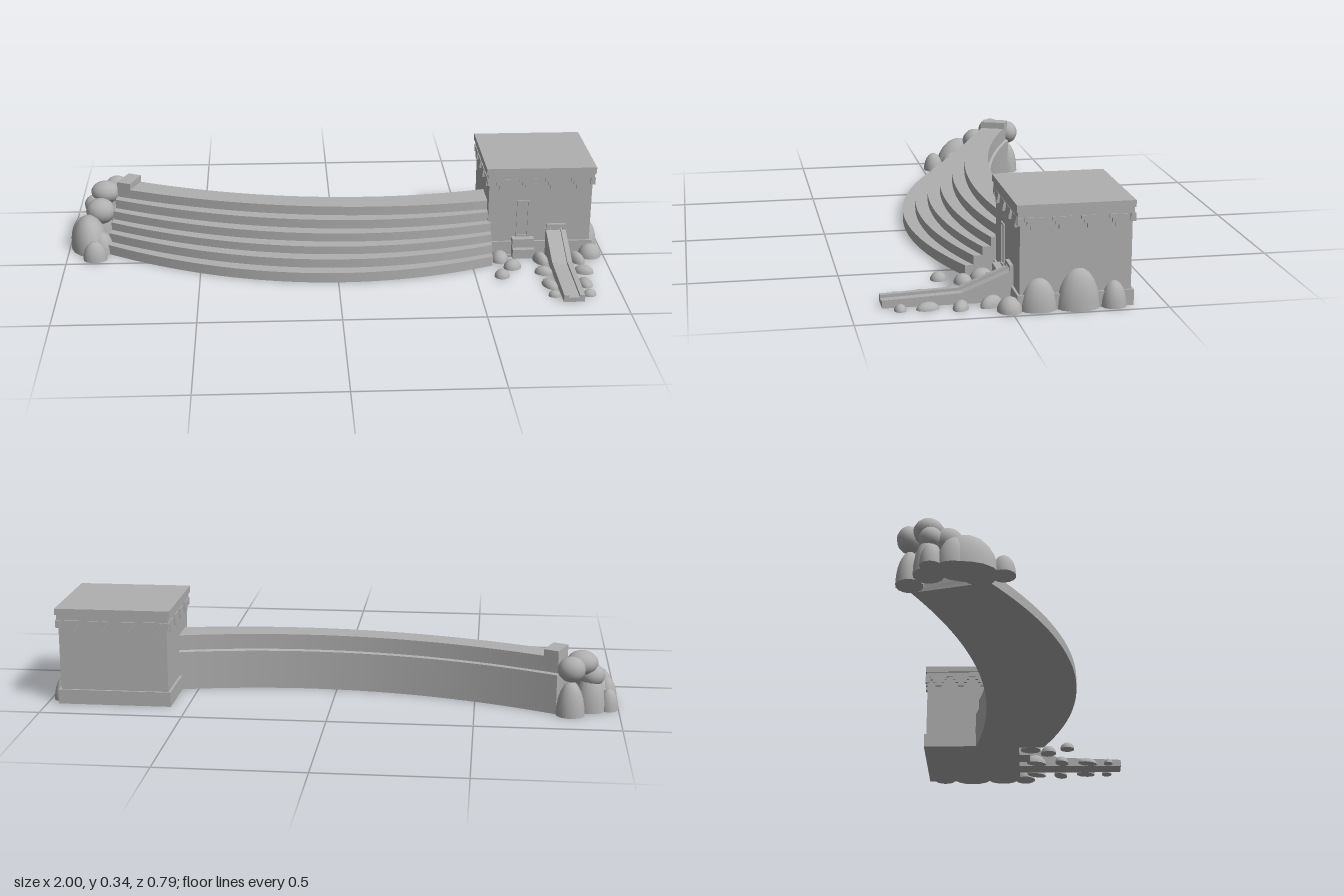
import * as THREE from 'three';
import { toCreasedNormals } from 'three/addons/utils/BufferGeometryUtils.js';

export function createModel() {
  const root = new THREE.Group();
  const stone = new THREE.MeshStandardMaterial({ color: 0xb0b0b0 });
  stone.name = 'grey stone';

  const add = (name, geo, parent = root) => {
    const m = new THREE.Mesh(geo, stone);
    m.name = name;
    parent.add(m);
    return m;
  };
  // box given by its limits on each axis
  const box = (name, x0, x1, y0, y1, z0, z1, parent = root) => {
    const m = add(name, new THREE.BoxGeometry(x1 - x0, y1 - y0, z1 - z0), parent);
    m.position.set((x0 + x1) / 2, (y0 + y1) / 2, (z0 + z1) / 2);
    return m;
  };
  const shapeOf = pts => new THREE.Shape(pts.map(p => new THREE.Vector2(p[0], p[1])));

  // --- Curved terrace: stepped section (u = step number, y) swept from left end to right end
  const rows = [ // u, left end [x,z], z at x = 0, right end [x,z]
    { u: 0, l: [-0.853, -0.09], m: 0.2, r: [0.575, 0.08] },
    { u: 5, l: [-0.82, -0.25], m: -0.03, r: [0.575, -0.065] },
    { u: 6, l: [-0.785, -0.335], m: -0.125, r: [0.575, -0.18] },
  ];
  const curvePoint = (u, s) => {
    const [a, b] = u <= 5 ? [rows[0], rows[1]] : [rows[1], rows[2]];
    const t = (u - a.u) / (b.u - a.u);
    const mix = (p, q) => p + (q - p) * t;
    const lx = mix(a.l[0], b.l[0]), lz = mix(a.l[1], b.l[1]);
    const rx = mix(a.r[0], b.r[0]), rz = mix(a.r[1], b.r[1]);
    const m = mix(a.m, b.m);
    const x = lx + (rx - lx) * s;
    // parabola through the two ends and the middle
    const z = lz * x * (x - rx) / (lx * (lx - rx))
      + m * (x - lx) * (x - rx) / (lx * rx)
      + rz * x * (x - lx) / (rx * (rx - lx));
    return [x, z];
  };
  const sweep = (name, pts, s0, s1, steps) => {
    let geo = new THREE.ExtrudeGeometry(shapeOf(pts), { depth: 1, steps, bevelEnabled: false });
    const p = geo.attributes.position;
    for (let i = 0; i < p.count; i++) {
      const [x, z] = curvePoint(p.getX(i), s0 + (s1 - s0) * p.getZ(i));
      p.setXYZ(i, x, p.getY(i), z);
    }
    geo = toCreasedNormals(geo, 0.5);
    add(name, geo);
  };
  const heights = [0.037, 0.07, 0.1, 0.132, 0.166, 0.2];
  const section = [[0, 0]];
  heights.forEach((h, k) => section.push([k, h], [k + 1, h]));
  section.push([6, 0.145], [6.1, 0.14], [6.1, 0]);
  sweep('terrace', section, 0, 1, 36);
  sweep('terraceEndBlock', [[4.95, 0.2], [4.95, 0.225], [6.05, 0.225], [6.05, 0.2]], 0, 0.036, 2);

  // --- Tower
  const tower = new THREE.Group();
  tower.name = 'tower';
  root.add(tower);
  const X0 = 0.567, X1 = 0.95, Z0 = -0.386, Z1 = -0.025;
  box('towerBody', X0, X1, 0, 0.304, Z0, Z1, tower);
  box('plinth', X0 - 0.009, X1 + 0.009, 0, 0.052, Z0 - 0.008, Z1 + 0.008, tower);
  box('roofLower', X0 - 0.006, X1 + 0.006, 0.303, 0.323, Z0 - 0.004, Z1 + 0.008, tower);
  box('roofUpper', X0 - 0.012, X1 + 0.011, 0.322, 0.345, Z0 - 0.008, Z1 + 0.012, tower);

  // stepped corbels hanging under the roof on all four faces
  const half = [[0.032, 0.303], [0.032, 0.29], [0.023, 0.29], [0.023, 0.277], [0.012, 0.277], [0.012, 0.262]];
  const corbelShape = shapeOf([...half, ...half.map(([x, y]) => [-x, y]).reverse()]);
  const corbelGeo = new THREE.ExtrudeGeometry(corbelShape, { depth: 0.009, bevelEnabled: false });
  const cx = (X0 + X1) / 2, cz = (Z0 + Z1) / 2;
  for (let side = 0; side < 4; side++) {
    const face = new THREE.Group();
    face.name = 'corbelRow';
    face.position.set(cx, 0, cz);
    face.rotation.y = side * Math.PI / 2;
    const reach = (side % 2 ? X1 - X0 : Z1 - Z0) / 2;
    const pitch = (side % 2 ? 0.091 : 0.096);
    for (let i = 0; i < 4; i++) {
      add('corbel', corbelGeo, face).position.set((i - 1.5) * pitch, 0, reach);
    }
    // corner pieces
    for (const e of [-1, 1]) {
      const w = (side % 2 ? Z1 - Z0 : X1 - X0) / 2;
      box('corbelCorner', e * w - 0.008, e * w + 0.008, 0.277, 0.303, reach - 0.005, reach + 0.009, face);
    }
    tower.add(face);
  }

  // window and door frames on the front face
  const frame = (name, x0, x1, y0, y1, t, depth) => {
    const s = shapeOf([[x0, y0], [x1, y0], [x1, y1], [x0, y1]]);
    s.holes.push(new THREE.Path([[x0 + t, y0 + t], [x0 + t, y1 - t], [x1 - t, y1 - t], [x1 - t, y0 + t]]
      .map(p => new THREE.Vector2(p[0], p[1]))));
    const m = add(name, new THREE.ExtrudeGeometry(s, { depth, bevelEnabled: false }), tower);
    m.position.z = Z1;
  };
  frame('windowFrame', 0.673, 0.721, 0.07, 0.215, 0.007, 0.005);
  frame('doorFrame', 0.787, 0.857, 0.02, 0.12, 0.012, 0.012);
  box('doorstepUpper', 0.657, 0.738, 0, 0.07, Z1, 0.005, tower);
  box('doorstepLower', 0.657, 0.738, 0, 0.036, Z1, 0.025, tower);

  // --- Ramp with a sunken channel between two rails
  const ramp = (name, x0, x1, drop) => {
    const s = shapeOf([[-0.396, 0], [0.03, 0], [0.03, 0.105 - drop], [-0.14, 0.037 - drop], [-0.396, 0.026 - drop]]);
    const m = add(name, new THREE.ExtrudeGeometry(s, { depth: x1 - x0, bevelEnabled: false }));
    m.rotation.y = Math.PI / 2;
    m.position.x = x0;
  };
  ramp('rampRailRight', 0.784, 0.802, 0);
  ramp('rampChannel', 0.802, 0.84, 0.01);
  ramp('rampRailLeft', 0.84, 0.858, 0);

  // --- Rocks: domes standing on the ground
  const domeGeo = new THREE.SphereGeometry(1, 14, 12);
  const dp = domeGeo.attributes.position;
  for (let i = 0; i < dp.count; i++) dp.setY(i, Math.max(0, dp.getY(i)));
  const dome = toCreasedNormals(domeGeo, 0.7);
  const ball = new THREE.SphereGeometry(1, 14, 10);
  const rock = (name, geo, x, y, z, rx, ry, rz, turn = 0) => {
    const m = add(name, geo);
    m.position.set(x, y, z);
    m.scale.set(rx, ry, rz);
    m.rotation.y = turn;
  };
  [ // x, z, rx, height, rz, turn
    [0.945, -0.087, 0.045, 0.105, 0.06], [0.945, -0.215, 0.05, 0.132, 0.071],
    [0.95, -0.33, 0.04, 0.084, 0.042], [0.948, 0.005, 0.043, 0.047, 0.04],
    [0.607, 0.03, 0.033, 0.036, 0.04], [0.645, 0.1, 0.034, 0.032, 0.03, 0.5],
    [0.597, 0.175, 0.028, 0.028, 0.028], [0.757, 0.052, 0.024, 0.036, 0.042, 0.4],
    [0.752, 0.155, 0.034, 0.028, 0.025, -0.4], [0.757, 0.26, 0.024, 0.023, 0.041, 0.4],
    [0.76, 0.344, 0.022, 0.021, 0.018], [0.89, 0.052, 0.024, 0.036, 0.042, 0.5],
    [0.9, 0.152, 0.036, 0.028, 0.025, -0.4], [0.886, 0.255, 0.025, 0.023, 0.038, 0.2],
    [0.886, 0.342, 0.023, 0.021, 0.02],
    // foot of the pile at the terrace end
    [-0.925, -0.16, 0.07, 0.125, 0.1, 0.2], [-0.895, -0.045, 0.045, 0.07, 0.04],
    [-0.965, -0.27, 0.035, 0.075, 0.035], [-0.96, -0.2, 0.04, 0.1, 0.05],
    [-0.83, -0.345, 0.05, 0.12, 0.045], [-0.9, -0.28, 0.055, 0.13, 0.05],
    [-0.875, -0.12, 0.045, 0.075, 0.05],
  ].forEach(([x, z, rx, h, rz, turn]) => rock('groundRock', dome, x, 0, z, rx, h, rz, turn));

  // rocks stacked on the pile
  [ // x, y, z, rx, ry, rz
    [-0.83, 0.165, -0.35, 0.048, 0.045, 0.04], [-0.868, 0.172, -0.285, 0.056, 0.043, 0.05],
    [-0.885, 0.12, -0.22, 0.055, 0.05, 0.05], [-0.905, 0.125, -0.275, 0.045, 0.04, 0.04],
  ].forEach(r => rock('stackedRock', ball, ...r));

  return root;
}
